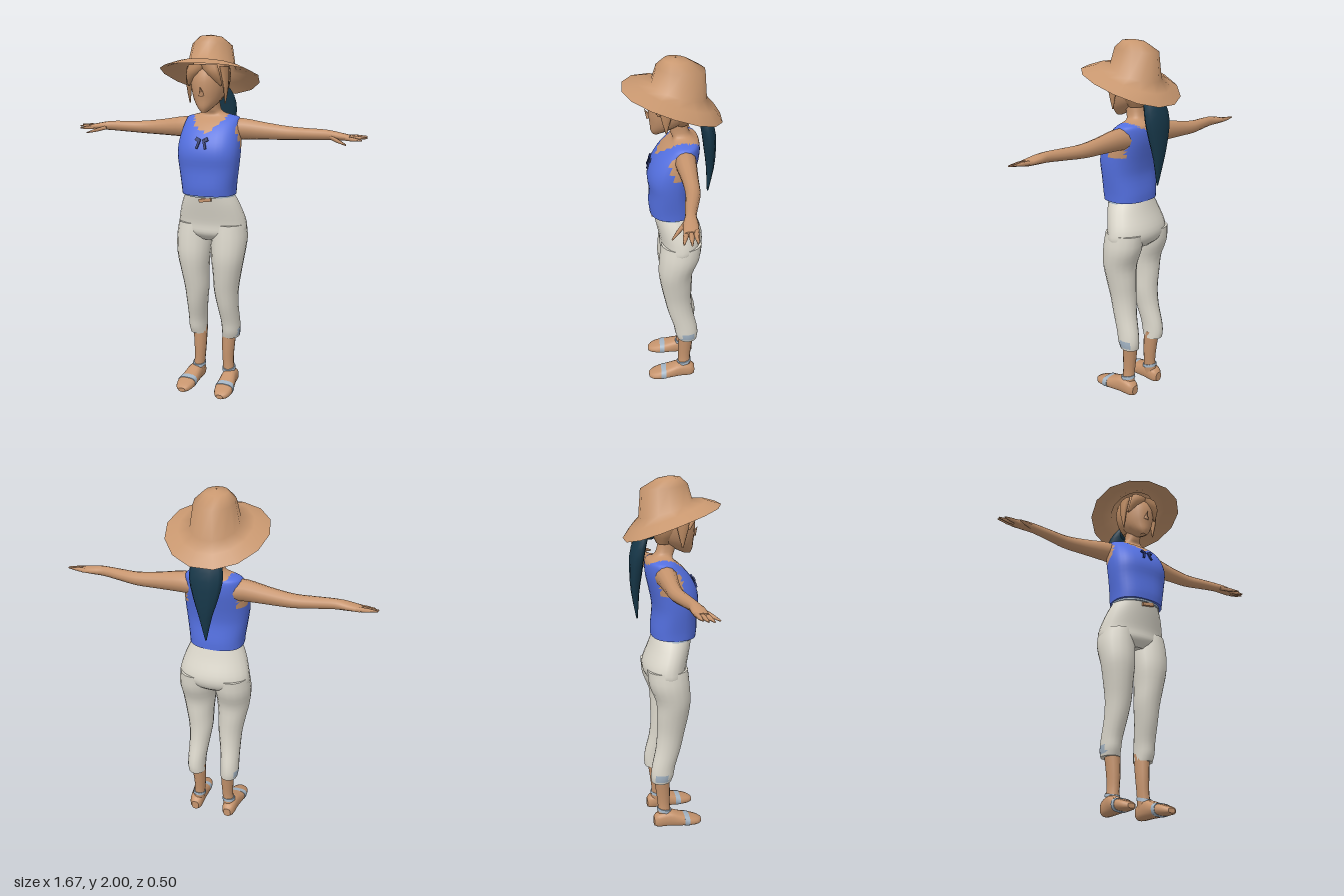
import * as THREE from 'three';

const mat = (name, color, side = THREE.FrontSide) => {
  const m = new THREE.MeshStandardMaterial({ color, side });
  m.name = name;
  return m;
};

// Loft of rounded rings [x, y, z, radiusU, radiusV, tilt, bend] along one axis (0 = x, 1 = y, 2 = z).
// "second" may pick faces, by their centre, for a second material.
function loft(rings, { axis = 1, sides = 16, steps = 3, power = 2, caps = true, second = null } = {}) {
  const full = rings.map(r => [...r, 0, 0].slice(0, 7));
  if (full[0][axis] > full[full.length - 1][axis]) full.reverse();
  const curve = new THREE.CubicInterpolant(full.map((_, i) => i), full.flat(), 7);
  const u = (axis + 2) % 3, v = (axis + 1) % 3;
  const rows = (full.length - 1) * steps + 1;
  const pos = [], groups = [[], []];
  const bulge = t => Math.sign(t) * Math.pow(Math.abs(t), 2 / power);
  for (let i = 0; i < rows; i++) {
    const r = i % steps === 0 ? full[i / steps] : [...curve.evaluate(i / steps)];
    for (let j = 0; j < sides; j++) {
      const a = j / sides * Math.PI * 2, s = Math.sin(a);
      const p = [r[0], r[1], r[2]];
      p[u] += r[3] * bulge(Math.cos(a));
      p[v] += r[4] * bulge(s);
      p[axis] += r[5] * s + r[6] * s * s;
      pos.push(...p);
    }
  }
  const tri = (...t) => {
    const c = [0, 1, 2].map(k => (pos[t[0] * 3 + k] + pos[t[1] * 3 + k] + pos[t[2] * 3 + k]) / 3);
    groups[second && second(...c) ? 1 : 0].push(...t);
  };
  for (let i = 0; i < rows - 1; i++) for (let j = 0; j < sides; j++) {
    const a = i * sides + j, b = i * sides + (j + 1) % sides;
    tri(a, a + sides, b);
    tri(b, a + sides, b + sides);
  }
  if (caps) for (const end of [0, rows - 1]) {
    const start = pos.length / 3, ring = pos.slice(end * sides * 3, (end + 1) * sides * 3);
    const r = full[end ? full.length - 1 : 0];
    pos.push(...ring, r[0], r[1], r[2]);
    for (let j = 0; j < sides; j++) {
      const a = start + j, b = start + (j + 1) % sides, c = start + sides;
      end ? tri(a, c, b) : tri(a, b, c);
    }
  }
  const g = new THREE.BufferGeometry();
  g.setAttribute('position', new THREE.Float32BufferAttribute(pos, 3));
  g.setIndex([...groups[0], ...groups[1]]);
  if (second) {
    g.addGroup(0, groups[0].length, 0);
    g.addGroup(groups[0].length, groups[1].length, 1);
  }
  g.computeVertexNormals();
  return g;
}

export function createModel() {
  const model = new THREE.Group();
  model.name = 'womanInSunHat';
  const skin = mat('skin', 0xc6946d);
  const straw = mat('straw', 0xc8976f, THREE.DoubleSide);
  const brownHair = mat('brownHair', 0xbf8d64);
  const darkHair = mat('darkHair', 0x17384a);
  const blue = mat('blouseBlue', 0x5470e0);
  const navy = mat('ribbonNavy', 0x24336f);
  const cream = mat('trouserCream', 0xdcd8cc);
  const cord = mat('cordGrey', 0xa3b4c4);

  const add = (name, geometry, material, parent = model) => {
    const m = new THREE.Mesh(geometry, material);
    m.name = name;
    parent.add(m);
    return m;
  };

  // Torso: sleeveless blouse with scooped neck and bare armholes
  const bare = (x, y, z) => {
    const front = z > -0.04;
    if (front && y > 1.495 + 0.07 * (x / 0.085) ** 2) return true;
    if (!front && y > 1.55 + 0.03 * (x / 0.085) ** 2) return true;
    if (y > 1.588) return true;
    return Math.abs(x) > 0.135 && Math.hypot(y - 1.478, z + 0.05) < 0.07;
  };
  add('torsoAndBlouse', loft([
    [0, 1.16, 0.005, 0.148, 0.12], [0, 1.21, 0.008, 0.152, 0.122], [0, 1.3, 0.012, 0.165, 0.115],
    [0, 1.37, 0.012, 0.172, 0.123], [0, 1.43, 0, 0.172, 0.124], [0, 1.49, -0.022, 0.165, 0.115],
    [0, 1.54, -0.045, 0.156, 0.095], [0, 1.57, -0.06, 0.145, 0.073], [0, 1.583, -0.058, 0.105, 0.06],
    [0, 1.595, -0.05, 0.062, 0.052], [0, 1.62, -0.035, 0.044, 0.048], [0, 1.69, -0.02, 0.042, 0.046],
  ], { sides: 32, steps: 3, power: 2.4, second: bare }), [blue, skin]);

  // Ribbon bow at the chest
  for (const s of [-1, 1]) {
    const loop = add('ribbonLoop', new THREE.BoxGeometry(0.026, 0.02, 0.008), navy);
    loop.position.set(s * 0.022, 1.463, 0.118);
    loop.rotation.set(-0.35, 0, s * 0.5);
    const tail = add('ribbonTail', new THREE.BoxGeometry(0.012, 0.05, 0.008), navy);
    tail.position.set(s * 0.018, 1.44, 0.126);
    tail.rotation.set(-0.3, 0, s * 0.3);
  }

  // Trousers: hips, then one leg per side below
  add('trouserHips', loft([
    [0, 1.18, 0.004, 0.128, 0.108], [0, 1.1, -0.016, 0.166, 0.113], [0, 1.0, -0.044, 0.196, 0.12],
    [0, 0.94, -0.04, 0.19, 0.113], [0, 0.9, -0.035, 0.1, 0.075],
  ], { sides: 24, steps: 4 }), cream);
  add('waistCord', loft([[0, 1.15, 0.002, 0.144, 0.113], [0, 1.165, 0.004, 0.14, 0.113]],
    { sides: 24, steps: 1 }), cord);
  const buckle = add('waistKnot', new THREE.BoxGeometry(0.07, 0.018, 0.014), skin);
  buckle.position.set(0.015, 1.138, 0.108);
  buckle.rotation.z = 0.15;

  for (const s of [1, -1]) {
    const side = new THREE.Group();
    side.name = s > 0 ? 'leftSide' : 'rightSide';
    model.add(side);
    const part = (name, rings, material, opts) =>
      add(name, loft(rings.map(([x, ...rest]) => [s * x, ...rest]), opts), material, side);

    part('trouserLeg', [
      [0.1, 0.99, -0.045, 0.094, 0.112], [0.103, 0.9, -0.035, 0.102, 0.112], [0.102, 0.8, -0.014, 0.094, 0.096],
      [0.097, 0.7, -0.018, 0.08, 0.088], [0.09, 0.6, -0.027, 0.07, 0.078], [0.094, 0.5, -0.043, 0.06, 0.072],
      [0.101, 0.4, -0.07, 0.054, 0.068], [0.103, 0.34, -0.079, 0.053, 0.066], [0.1, 0.3, -0.084, 0.05, 0.057],
    ], [cream, cord], {
      sides: 16,
      second: (x, y, z) => y > 0.315 && y < 0.36 && Math.abs(x) > 0.12 && z < -0.05 && z > -0.12,
    });
    part('shin', [
      [0.092, 0.34, -0.082, 0.043, 0.047], [0.088, 0.22, -0.072, 0.036, 0.041],
      [0.09, 0.13, -0.068, 0.032, 0.036], [0.1, 0.05, -0.068, 0.036, 0.042],
    ], skin, { sides: 12 });

    // Foot and sandal straps
    part('foot', [
      [0.103, 0.036, -0.13, 0.028, 0.022], [0.104, 0.043, -0.105, 0.043, 0.038], [0.107, 0.049, -0.04, 0.049, 0.043],
      [0.112, 0.039, 0.02, 0.039, 0.049], [0.116, 0.029, 0.08, 0.029, 0.053], [0.118, 0.021, 0.125, 0.021, 0.042],
      [0.116, 0.016, 0.15, 0.012, 0.02],
    ], skin, { axis: 2, sides: 16, power: 2.6 });
    part('toeStrap', [[0.115, 0.034, 0.045, 0.036, 0.053], [0.116, 0.031, 0.075, 0.032, 0.055]],
      cord, { axis: 2, sides: 16, steps: 1, power: 2.6, caps: true });
    part('ankleStrap', [[0.095, 0.092, -0.066, 0.039, 0.044, -0.01], [0.094, 0.11, -0.066, 0.037, 0.042, -0.01]],
      cord, { sides: 14, steps: 1 });

    // Arm, palm and fingers, held straight out
    part('arm', [
      [0.1, 1.505, -0.06, 0.055, 0.055], [0.17, 1.51, -0.06, 0.053, 0.057], [0.3, 1.502, -0.069, 0.041, 0.045],
      [0.42, 1.496, -0.073, 0.036, 0.036], [0.52, 1.497, -0.06, 0.032, 0.031], [0.62, 1.499, -0.047, 0.026, 0.027],
      [0.68, 1.496, -0.042, 0.035, 0.022], [0.75, 1.49, -0.04, 0.034, 0.014],
    ], skin, { axis: 0, sides: 12 });
    const fingers = [[0.72, 1.493, -0.062, 0.832, 1.497, -0.062], [0.72, 1.491, -0.042, 0.835, 1.491, -0.037],
      [0.72, 1.488, -0.022, 0.815, 1.482, -0.004], [0.65, 1.49, -0.025, 0.745, 1.462, 0.042]];
    for (const [x, y, z, tx, ty, tz] of fingers) part('finger', [
      [x, y, z, 0.013, 0.012], [(x + tx) / 2, (y + ty) / 2, (z + tz) / 2, 0.012, 0.011], [tx, ty, tz, 0.004, 0.004],
    ], skin, { axis: 0, sides: 6, steps: 1 });

    // Loose locks of hair framing the face
    part('sideLock', [[0.092, 1.84, 0.03, 0.018, 0.05], [0.104, 1.75, 0.035, 0.013, 0.03], [0.1, 1.65, 0.035, 0.003, 0.004]],
      brownHair, { sides: 8, steps: 2 });
    part('fringeLock', [[0.03, 1.85, 0.1, 0.05, 0.02], [0.06, 1.8, 0.1, 0.036, 0.018], [0.092, 1.74, 0.07, 0.004, 0.006]],
      brownHair, { sides: 8, steps: 2 });
  }

  // Head and nose
  add('head', loft([
    [0, 1.605, 0.083, 0.014, 0.018], [0, 1.63, 0.062, 0.042, 0.05], [0, 1.67, 0.03, 0.072, 0.086],
    [0, 1.72, 0.01, 0.09, 0.113], [0, 1.78, 0.002, 0.098, 0.12], [0, 1.84, -0.015, 0.098, 0.115],
    [0, 1.88, -0.02, 0.08, 0.09],
  ], { sides: 18 }), skin);
  const nose = add('nose', new THREE.ConeGeometry(0.016, 0.05, 6), skin);
  nose.position.set(0, 1.717, 0.128);
  nose.rotation.x = 0.5;
  add('backHair', loft([
    [0, 1.66, -0.045, 0.05, 0.035], [0, 1.72, -0.035, 0.09, 0.075], [0, 1.79, -0.03, 0.102, 0.095],
    [0, 1.85, -0.03, 0.095, 0.09],
  ], { sides: 14 }), brownHair);

  // Ponytail and its tie
  add('hairTie', new THREE.SphereGeometry(0.034, 10, 8), darkHair).position.set(0, 1.715, -0.115);
  add('ponytail', loft([
    [0, 1.26, -0.19, 0.004, 0.004], [0, 1.4, -0.198, 0.036, 0.021], [0, 1.5, -0.194, 0.066, 0.031],
    [0, 1.6, -0.185, 0.088, 0.037], [0, 1.68, -0.166, 0.078, 0.035], [0, 1.74, -0.14, 0.044, 0.03],
    [0, 1.77, -0.12, 0.015, 0.016],
  ], { sides: 10, steps: 2 }), darkHair);

  // Sun hat: one open sheet, brim raised in front and drooping behind
  add('sunHat', loft([
    [0, 1.797, 0, 0.268, 0.254, 0.09, -0.027], [0, 1.824, -0.02, 0.19, 0.195, 0.07, -0.012],
    [0, 1.838, -0.033, 0.126, 0.14, 0.045], [0, 1.95, -0.04, 0.104, 0.122, 0.012],
    [0, 1.99, -0.018, 0.06, 0.062, 0.005], [0, 2.0, -0.015, 0.002, 0.002],
  ], { sides: 14, steps: 1, caps: false }), straw);

  return model;
}
